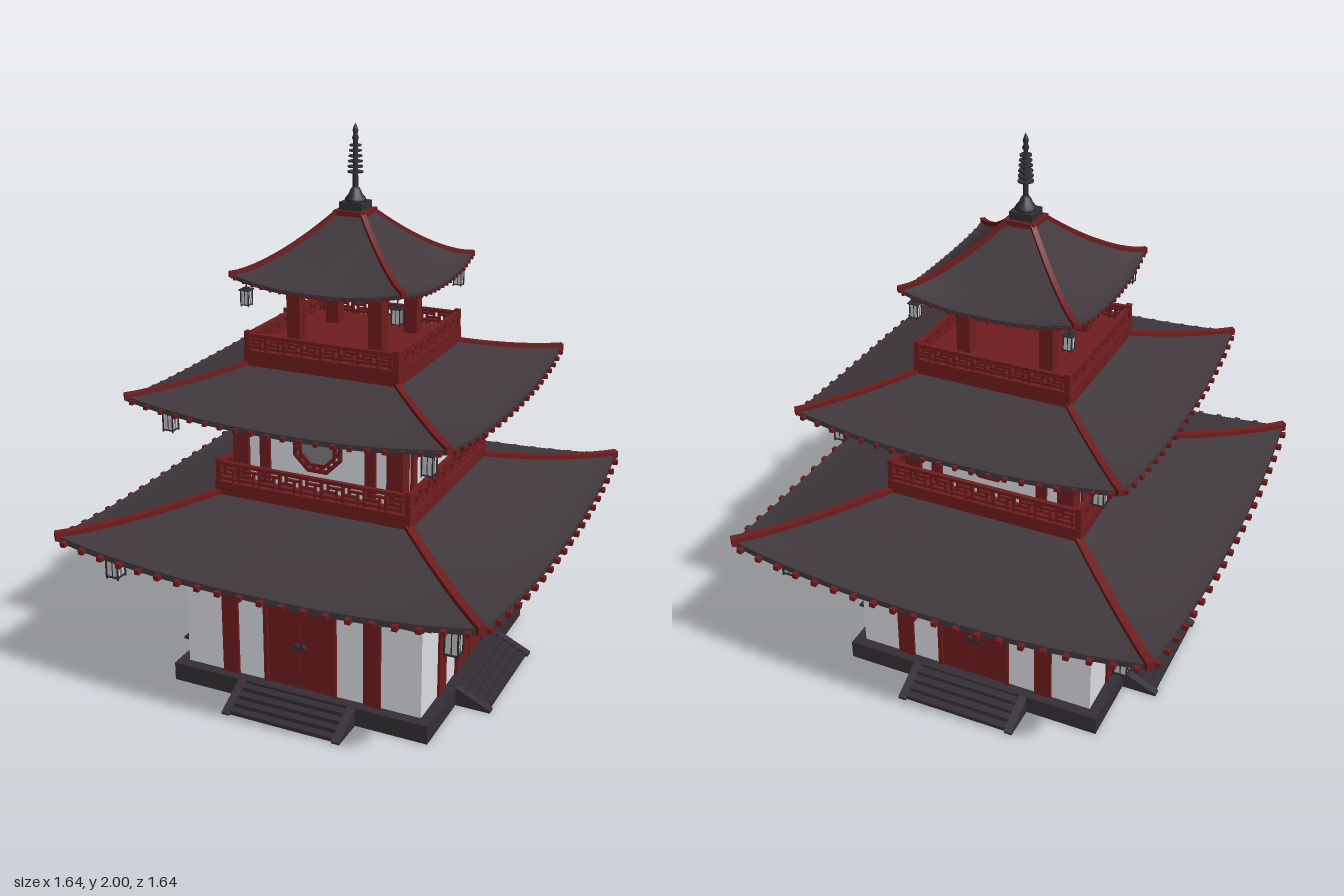
import * as THREE from 'three';
import { ParametricGeometry } from 'three/addons/geometries/ParametricGeometry.js';

const mat = (name, color, side = THREE.FrontSide) => {
  const m = new THREE.MeshStandardMaterial({ color, side });
  m.name = name;
  return m;
};

export function createModel() {
  const red = mat('red lacquer', 0x701d1e);
  const white = mat('white plaster', 0xe0e1e7);
  const tile = mat('roof tile', 0x40383d, THREE.DoubleSide);
  const stone = mat('dark stone', 0x352f35);
  const metal = mat('dark metal', 0x303035);
  const glass = mat('window glass', 0x827f82);
  const paper = mat('lantern paper', 0xc6c6ca);

  const pagoda = new THREE.Group();
  pagoda.name = 'pagoda';

  const add = (parent, name, geo, material, x = 0, y = 0, z = 0) => {
    const mesh = new THREE.Mesh(geo, material);
    mesh.name = name;
    mesh.position.set(x, y, z);
    parent.add(mesh);
    return mesh;
  };
  // Box given by its centre in x and z and its lower and upper y
  const box = (parent, name, material, w, d, y0, y1, x = 0, z = 0) =>
    add(parent, name, new THREE.BoxGeometry(w, y1 - y0, d), material, x, (y0 + y1) / 2, z);
  // Repeats a part on all four sides, built facing +z
  const fourSides = (name, build) => {
    for (let i = 0; i < 4; i++) {
      const side = new THREE.Group();
      side.name = name;
      side.rotation.y = (i * Math.PI) / 2;
      build(side);
      pagoda.add(side);
    }
  };
  // Plate cut from a profile of (distance, height) points, centred on its width
  const slab = (points, width, turn) => {
    const shape = new THREE.Shape(points.map((p) => new THREE.Vector2(p[0], p[1])));
    return new THREE.ExtrudeGeometry(shape, { depth: width, bevelEnabled: false })
      .translate(0, 0, -width / 2).rotateY(turn);
  };

  // Stone platform with a rim, a shallow recess below, and stairs with open undersides
  box(pagoda, 'platform', stone, 0.94, 0.94, 0.008, 0.07);
  fourSides('platformSide', (g) => {
    box(g, 'platformRim', stone, 0.96, 0.04, 0, 0.07, -0.02, 0.48);
    box(g, 'wallFoot', white, 0.92, 0.004, 0.001, 0.008, 0, 0.457);
    for (let i = 0; i < 4; i++)
      box(g, 'step', stone, 0.4, 0.032, Math.max(0, 0.038 - i * 0.015), 0.06 - i * 0.015, 0, 0.515 + i * 0.03);
    for (const x of [-0.215, 0.215])
      add(g, 'stairCheek', slab([[0.5, 0], [0.63, 0], [0.63, 0.008], [0.5, 0.07]], 0.03, -Math.PI / 2), stone, x);
  });

  // Ground storey
  box(pagoda, 'groundWalls', white, 0.92, 0.92, 0.07, 0.62);
  box(pagoda, 'lowerBeam', red, 0.93, 0.93, 0.4, 0.436);
  box(pagoda, 'beltLedge', red, 1.02, 1.02, 0.436, 0.46);
  box(pagoda, 'upperBeam', red, 0.93, 0.93, 0.54, 0.58);
  fourSides('groundFacade', (g) => {
    for (const s of [-1, 1]) {
      box(g, 'pillar', red, 0.065, 0.03, 0.07, 0.6, s * 0.278, 0.454);
      box(g, 'doorLeaf', red, 0.126, 0.02, 0.07, 0.385, s * 0.063, 0.453);
      box(g, 'doorPost', red, 0.016, 0.03, 0.07, 0.4, s * 0.134, 0.456);
      const knob = add(g, 'doorHandle', new THREE.CylinderGeometry(0.012, 0.012, 0.016, 12), metal, s * 0.013, 0.236, 0.468);
      knob.rotation.x = Math.PI / 2;
    }
    box(g, 'doorStrip', red, 0.005, 0.02, 0.07, 0.385, 0, 0.456);
    box(g, 'doorLintel', red, 0.284, 0.03, 0.385, 0.405, 0, 0.456);
  });

  // Balcony platform with fretwork railing
  const balcony = (half, y0, floor, top, panels) => {
    box(pagoda, 'balconyFloor', red, half * 2, half * 2, y0, floor);
    const r = half - 0.012, h = top - floor, w = (2 * r) / panels, bar = 0.008;
    fourSides('railing', (g) => {
      box(g, 'cornerPost', red, 0.02, 0.02, floor, top + 0.008, r, r);
      box(g, 'topRail', red, 2 * r, 0.016, top - 0.013, top, 0, r);
      box(g, 'bottomRail', red, 2 * r, 0.012, floor + 0.006, floor + 0.016, 0, r);
      for (let i = 0; i < panels; i++) {
        const x = -r + (i + 0.5) * w;
        const low = floor + h * 0.4, high = floor + h * 0.64;
        box(g, 'fretUpright', red, bar * 1.3, 0.01, floor, top, x - w / 2, r);
        box(g, 'fretBar', red, w * 0.72, 0.01, low - bar / 2, low + bar / 2, x - w * 0.14, r);
        box(g, 'fretBar', red, w * 0.72, 0.01, high - bar / 2, high + bar / 2, x + w * 0.14, r);
        box(g, 'fretStub', red, bar, 0.01, low, top, x - w * 0.2, r);
        box(g, 'fretStub', red, bar, 0.01, floor, high, x + w * 0.2, r);
      }
    });
  };
  balcony(0.374, 0.7, 0.772, 0.846, 9);
  balcony(0.291, 1.17, 1.245, 1.303, 8);

  // Octagonal ring with flat top
  const octagon = (path, apothem) => {
    const r = apothem / Math.cos(Math.PI / 8);
    for (let i = 0; i < 8; i++) {
      const a = Math.PI / 8 + (i * Math.PI) / 4;
      path[i ? 'lineTo' : 'moveTo'](r * Math.cos(a), r * Math.sin(a));
    }
    path.closePath();
    return path;
  };
  const octRing = (outer, inner) => {
    const shape = octagon(new THREE.Shape(), outer);
    shape.holes.push(octagon(new THREE.Path(), inner));
    return new THREE.ExtrudeGeometry(shape, { depth: 0.014, bevelEnabled: false });
  };

  // Middle storey
  box(pagoda, 'middleWalls', white, 0.62, 0.62, 0.77, 1.1);
  box(pagoda, 'middleBeam', red, 0.645, 0.645, 1.06, 1.09);
  fourSides('middleFacade', (g) => {
    box(g, 'cornerPillar', red, 0.06, 0.06, 0.77, 1.09, 0.295, 0.295);
    for (const s of [-1, 1]) box(g, 'pillar', red, 0.04, 0.024, 0.77, 1.09, s * 0.202, 0.308);
    add(g, 'windowGlass', new THREE.ExtrudeGeometry(octagon(new THREE.Shape(), 0.068), { depth: 0.005, bevelEnabled: false }), glass, 0.003, 0.937, 0.309);
    add(g, 'windowOuterFrame', octRing(0.092, 0.079), red, 0.003, 0.937, 0.309);
    add(g, 'windowInnerFrame', octRing(0.071, 0.06), red, 0.003, 0.937, 0.309);
    for (let i = 0; i < 16; i++) {
      const a = ((i + 0.5) * Math.PI) / 8;
      const bar = add(g, 'windowFretBar', new THREE.BoxGeometry(0.022, 0.013, 0.012), red, 0.003 + 0.076 * Math.cos(a), 0.937 + 0.076 * Math.sin(a), 0.316);
      bar.rotation.z = a;
    }
  });

  // Open belfry
  fourSides('belfry', (g) => {
    box(g, 'belfryPillar', red, 0.05, 0.05, 1.245, 1.5, 0.155, 0.155);
    box(g, 'pillarBracket', red, 0.064, 0.064, 1.45, 1.47, 0.155, 0.155);
    box(g, 'belfryBeam', red, 0.4, 0.04, 1.468, 1.5, 0, 0.165);
  });
  box(pagoda, 'belfryCeiling', red, 0.36, 0.36, 1.497, 1.51);

  // Curved roof: tiles, soffit, eave edge, rafter ends and hip ridges
  const roof = ({ w0, w1, y0, y1, p, lift, bulge, thick, wi, yi, rafters, size, poke, hip }) => {
    const rise = (s, t) => lift * Math.pow(Math.abs(s), 2.5) * t * t;
    const top = (t) => y1 + (y0 - y1) * Math.pow(1 - t, p);
    const put = (v, s, t, w, y) => v.set(s * w, y + rise(s, t), w + bulge * (1 - s * s) * t);
    const lerp = THREE.MathUtils.lerp;
    fourSides('roofSide', (g) => {
      add(g, 'roofTiles', new ParametricGeometry((u, t, v) => put(v, 1 - 2 * u, t, lerp(w0, w1, t), top(t)), 20, 10), tile);
      add(g, 'soffit', new ParametricGeometry((u, t, v) => put(v, 2 * u - 1, t, lerp(wi, w1, t), lerp(yi, y1 - thick, t)), 20, 6), tile);
      add(g, 'eaveEdge', new ParametricGeometry((u, k, v) => put(v, 2 * u - 1, 1, w1, y1 - thick * (1 - k)), 20, 1), tile);
      const at = new THREE.Vector3();
      for (let i = 0; i < rafters; i++) {
        const s = ((i + 0.5) / rafters) * 2 - 1;
        put(at, s, 1, w1, y1 - thick * 0.65);
        const len = poke + 0.01;
        const rafter = add(g, 'rafterEnd', new THREE.BoxGeometry(size, thick * 0.8, len), red, at.x, at.y, at.z + poke - len / 2);
        rafter.rotation.y = (2 * s * bulge) / w1;
      }
      const upper = [], lower = [];
      for (let i = 0; i <= 12; i++) {
        const t = i / 12, d = lerp(w0, w1, t) * Math.SQRT2 + t * 0.006, y = top(t) + rise(1, t);
        upper.push([d, y + hip * 0.5]);
        lower.unshift([d, y - hip * 0.6]);
      }
      add(g, 'hipRidge', slab([...upper, ...lower], hip, -Math.PI / 4), red);
    });
  };
  roof({ w0: 0.35, w1: 0.775, y0: 0.73, y1: 0.602, p: 1.12, lift: 0.046, bulge: 0.027, thick: 0.022,
    wi: 0.4, yi: 0.61, rafters: 20, size: 0.019, poke: 0.02, hip: 0.028 });
  roof({ w0: 0.26, w1: 0.585, y0: 1.2, y1: 1.09, p: 1.08, lift: 0.034, bulge: 0.025, thick: 0.018,
    wi: 0.27, yi: 1.09, rafters: 20, size: 0.014, poke: 0.014, hip: 0.022 });
  roof({ w0: 0.05, w1: 0.317, y0: 1.698, y1: 1.483, p: 1.32, lift: 0.033, bulge: 0.015, thick: 0.014,
    wi: 0.15, yi: 1.497, rafters: 18, size: 0.009, poke: 0.007, hip: 0.018 });

  // Lanterns under the roof corners
  const lantern = (at, y0, y1, width, hook) => fourSides('lantern', (g) => {
    const h = y1 - y0, half = width * 0.4;
    box(g, 'lanternPaper', paper, width * 0.72, width * 0.72, y0 + h * 0.1, y1 - h * 0.15, at, at);
    box(g, 'lanternBase', metal, width * 0.9, width * 0.9, y0 + h * 0.06, y0 + h * 0.11, at, at);
    box(g, 'lanternCap', metal, width * 1.1, width * 1.1, y1 - h * 0.15, y1 - h * 0.08, at, at);
    box(g, 'lanternCrown', metal, width * 0.5, width * 0.5, y1 - h * 0.08, y1, at, at);
    box(g, 'lanternChain', metal, 0.004, 0.004, y1, hook, at, at);
    for (const sx of [-1, 1]) for (const sz of [-1, 1])
      box(g, 'lanternPost', metal, width * 0.09, width * 0.09, y0, y1 - h * 0.1, at + sx * half, at + sz * half);
    box(g, 'lanternBar', metal, width * 0.06, width * 0.76, y0 + h * 0.1, y1 - h * 0.15, at, at);
    box(g, 'lanternBar', metal, width * 0.76, width * 0.06, y0 + h * 0.1, y1 - h * 0.15, at, at);
  });
  lantern(0.637, 0.455, 0.565, 0.058, 0.62);
  lantern(0.48, 0.98, 1.067, 0.047, 1.1);
  lantern(0.28, 1.4, 1.465, 0.036, 1.5);

  // Finial
  box(pagoda, 'finialSeat', red, 0.115, 0.115, 1.685, 1.708);
  box(pagoda, 'finialBase', metal, 0.085, 0.085, 1.708, 1.735);
  const lathe = (points) => new THREE.LatheGeometry(points.map((p) => new THREE.Vector2(p[0], p[1])), 12);
  add(pagoda, 'finialBowl', lathe([[0, 1.735], [0.036, 1.735], [0.036, 1.745], [0.024, 1.76], [0.016, 1.778], [0.009, 1.785], [0, 1.785]]), metal);
  add(pagoda, 'finialSpire', lathe([[0.01, 1.78], [0.008, 1.94], [0.012, 1.95], [0.007, 1.962], [0.01, 1.975], [0.006, 1.988], [0, 2]]), metal);
  for (let i = 0; i < 6; i++)
    add(pagoda, 'finialRing', new THREE.CylinderGeometry(0.028 - i * 0.0015, 0.028 - i * 0.0015, 0.005, 12), metal, 0, 1.835 + i * 0.018, 0);

  return pagoda;
}
